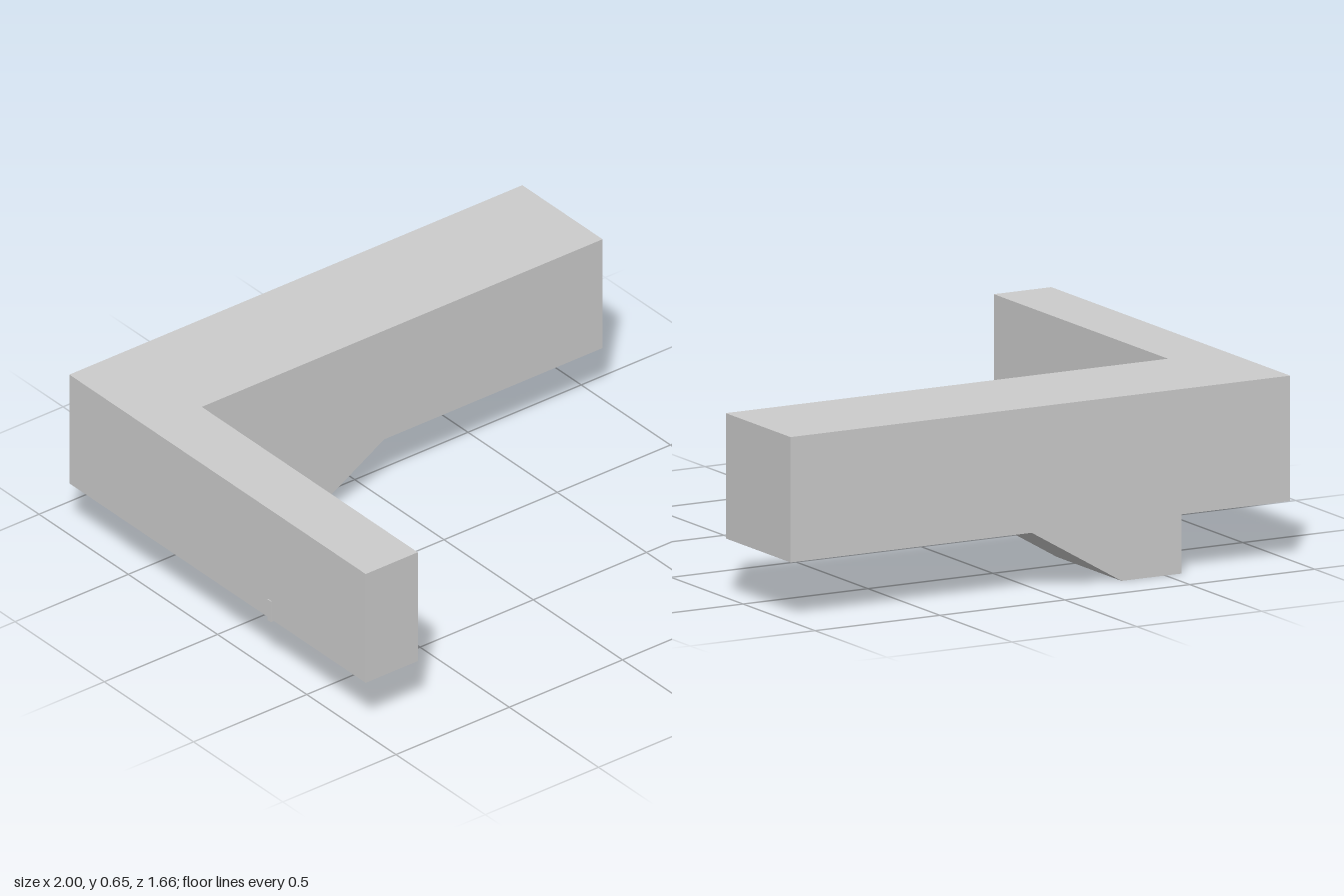
import * as THREE from 'three';

const BOTTOM = 0.21, TOP = 0.655;
const BACK = -0.83, INNER = -0.38, FRONT = 0.83;
const LEFT = -1, ARM = -0.77;

export function createModel() {
  const group = new THREE.Group();
  const material = new THREE.MeshStandardMaterial({ color: 0xcccccc, flatShading: true });

  const add = (name, geometry) => {
    const mesh = new THREE.Mesh(geometry, material);
    mesh.name = name;
    group.add(mesh);
  };
  const box = (name, x0, x1, y0, y1, z0, z1) => add(name,
    new THREE.BoxGeometry(x1 - x0, y1 - y0, z1 - z0)
      .translate((x0 + x1) / 2, (y0 + y1) / 2, (z0 + z1) / 2));
  const prism = (points, depth) => new THREE.ExtrudeGeometry(
    new THREE.Shape(points.map(([x, y]) => new THREE.Vector2(x, y))),
    { depth, bevelEnabled: false });

  // Wide bar with a sloped keel below, extruded front to back
  add('mainBar', prism([
    [LEFT, BOTTOM], [-0.565, BOTTOM], [-0.565, 0], [-0.325, 0],
    [0.035, BOTTOM], [1, BOTTOM], [1, TOP], [LEFT, TOP],
  ], INNER - BACK).translate(0, 0, BACK));

  // Narrow arm reaching forward
  box('sideArm', LEFT, ARM, BOTTOM, TOP, INNER, FRONT);

  // Thin U-shaped clip wrapped under the arm
  const t = 0.003;
  add('armClip', prism([
    [LEFT - t, 0.2], [ARM + t, 0.2], [ARM + t, 0.285], [ARM, 0.285],
    [ARM, BOTTOM], [LEFT, BOTTOM], [LEFT, 0.285], [LEFT - t, 0.285],
  ], 0.02).translate(0, 0, 0.283));

  // Small tab under the bar beside the keel
  box('underTab', -0.61, -0.565, 0.203, BOTTOM, -0.62, -0.6);

  return group;
}
